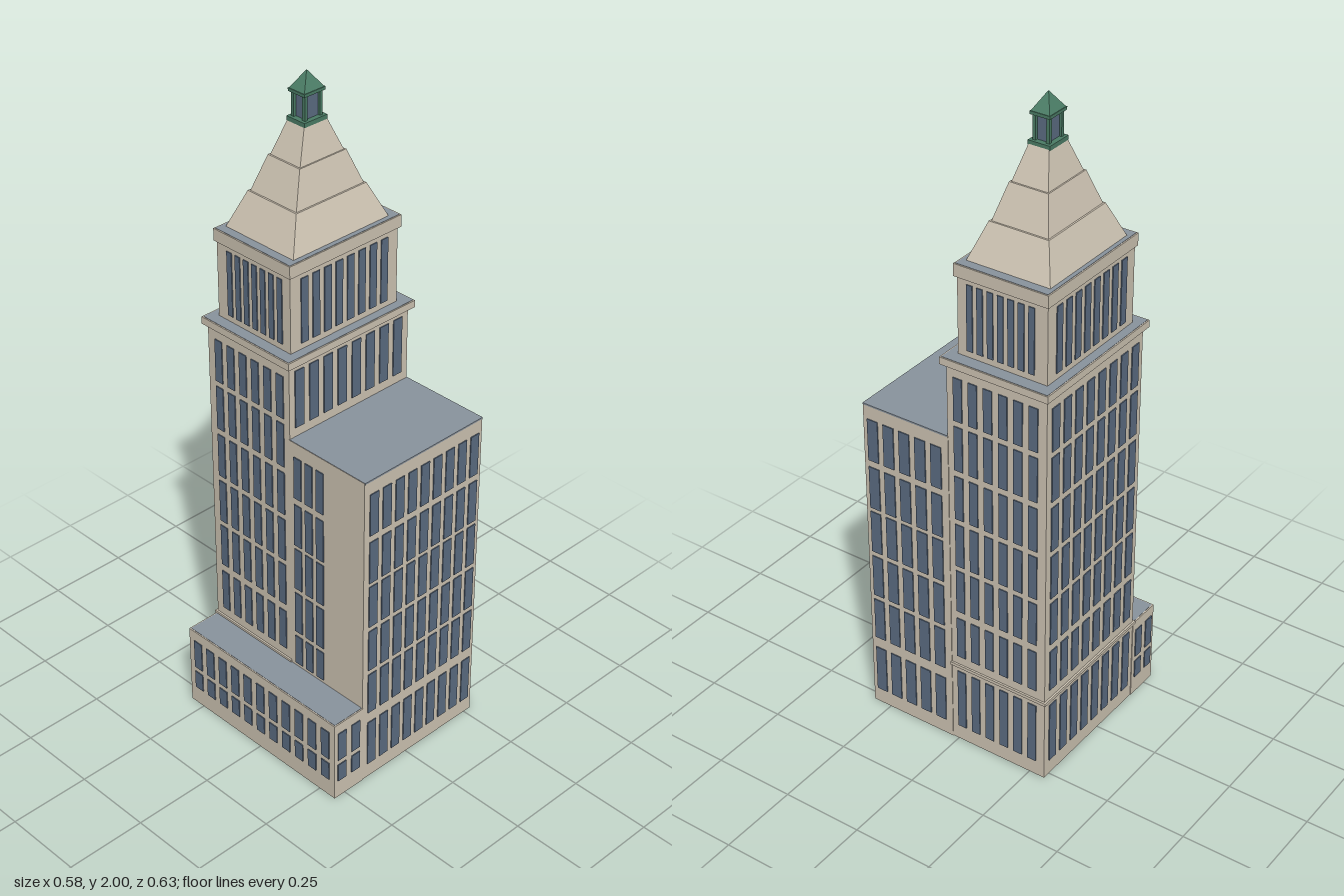
import * as THREE from 'three';
import { mergeGeometries } from 'three/addons/utils/BufferGeometryUtils.js';

const material = (name, color) => {
  const m = new THREE.MeshStandardMaterial({ color });
  m.name = name;
  return m;
};

export function createModel() {
  const stone = material('limestone', 0xd0c6b5);
  const roofing = material('slate roof', 0x8a949e);
  const glass = material('window glass', 0x5c6d83);
  const copper = material('green copper', 0x4b7d66);

  const model = new THREE.Group();
  model.name = 'tower';

  const add = (name, geometry, mat) => {
    const mesh = new THREE.Mesh(geometry, mat);
    mesh.name = name;
    model.add(mesh);
    return mesh;
  };

  // Box given by its limits on each axis
  const boxGeo = (x0, x1, y0, y1, z0, z1) =>
    new THREE.BoxGeometry(x1 - x0, y1 - y0, z1 - z0)
      .translate((x0 + x1) / 2, (y0 + y1) / 2, (z0 + z1) / 2);
  const box = (name, mat, ...b) => add(name, boxGeo(...b), mat);

  // Thin roof surface laid just inside the edges of a block
  const roofPlate = (name, x0, x1, y, z0, z1) =>
    box(name, roofing, x0 + 0.004, x1 - 0.004, y - 0.004, y + 0.001, z0 + 0.004, z1 - 0.004);

  // Four-sided slope between a lower and an upper rectangle [x0, x1, z0, z1]
  const frustum = (name, mat, lower, upper, y0, y1) => {
    const g = new THREE.BoxGeometry(1, 1, 1).toNonIndexed();
    const p = g.attributes.position;
    for (let i = 0; i < p.count; i++) {
      const top = p.getY(i) > 0;
      const r = top ? upper : lower;
      p.setXYZ(i, p.getX(i) < 0 ? r[0] : r[1], top ? y1 : y0, p.getZ(i) < 0 ? r[2] : r[3]);
    }
    g.computeVertexNormals();
    return add(name, g, mat);
  };

  // Grid of window plates on a wall; axis is the wall's normal, u runs along the wall
  const windows = (name, axis, at, u0, u1, columns, rows, fill = 0.66) => {
    const pitch = (u1 - u0) / (columns - 1 + fill);
    const t = 0.003;
    const panes = [];
    for (const [y0, y1] of rows) {
      for (let i = 0; i < columns; i++) {
        const a = u0 + i * pitch;
        const b = a + pitch * fill;
        panes.push(axis === 'x'
          ? boxGeo(at - t, at + t, y0, y1, a, b)
          : boxGeo(a, b, y0, y1, at - t, at + t));
      }
    }
    add(name, mergeGeometries(panes), glass);
  };

  const blockRows = [[0.05, 0.204], [0.241, 0.379], [0.395, 0.533], [0.549, 0.687], [0.7, 0.838], [0.86, 0.995]];
  const shaftRows = [[0.305, 0.44], [0.465, 0.605], [0.622, 0.762], [0.78, 0.92], [0.94, 1.08], [1.098, 1.232]];
  const shaftBase = [[0.05, 0.25]];
  const annexRows = [[0.06, 0.12], [0.137, 0.235]];

  // Main shaft
  box('shaft', stone, -0.178, 0.274, 0, 1.27, -0.3, 0.022);
  windows('shaftLeftWindows', 'x', 0.274, -0.272, 0, 6, [...shaftBase, ...shaftRows], 0.58);
  windows('shaftRightWindows', 'x', -0.178, -0.272, 0, 6, shaftRows, 0.58);
  windows('shaftBackWindows', 'z', -0.3, -0.158, 0.252, 8, [...shaftBase, ...shaftRows], 0.62);
  windows('shaftFrontWindows', 'z', 0.022, -0.158, 0.25, 8, [[1.07, 1.25]], 0.62);
  box('baseLedge', stone, -0.184, 0.28, 0.266, 0.276, -0.306, 0.022);

  // Shaft cornice
  box('shaftCornice', stone, -0.19, 0.29, 1.268, 1.29, -0.312, 0.033);
  roofPlate('shaftRoof', -0.19, 0.29, 1.29, -0.312, 0.033);

  // Front block
  box('frontBlock', stone, -0.18, 0.276, 0, 1.04, 0.02, 0.31);
  box('frontBlockRoof', roofing, -0.179, 0.276, 1.036, 1.041, 0.022, 0.311);
  windows('blockFrontWindows', 'z', 0.31, -0.16, 0.263, 9, blockRows);
  windows('blockLeftWindows', 'x', 0.276, 0.043, 0.296, 5, blockRows);
  windows('blockRightWindows', 'x', -0.18, 0.04, 0.155, 3, blockRows.slice(2).concat([[0.28, 0.379]]));

  // Low side annex
  box('annex', stone, -0.29, -0.178, 0, 0.268, -0.302, 0.311);
  roofPlate('annexRoof', -0.29, -0.176, 0.268, -0.302, 0.311);
  windows('annexFrontWindows', 'z', 0.311, -0.278, -0.192, 2, annexRows, 0.6);
  windows('annexBackWindows', 'z', -0.302, -0.278, -0.192, 2, annexRows, 0.6);
  windows('annexSideWindows', 'x', -0.29, -0.28, 0.29, 11, annexRows, 0.6);

  // Belfry storey and its cornice
  box('belfry', stone, -0.152, 0.248, 1.28, 1.53, -0.282, 0.002);
  for (const [side, z] of [['Front', 0.002], ['Back', -0.282]])
    windows(`belfry${side}Windows`, 'z', z, -0.114, 0.21, 8, [[1.31, 1.507]], 0.6);
  for (const [side, x] of [['Left', 0.248], ['Right', -0.152]])
    windows(`belfry${side}Windows`, 'x', x, -0.242, -0.028, 7, [[1.31, 1.507]], 0.58);
  box('belfryCornice', stone, -0.158, 0.256, 1.523, 1.56, -0.288, 0.008);
  roofPlate('belfryRoof', -0.158, 0.256, 1.56, -0.288, 0.008);

  // Stepped pyramid roof, each tier starting slightly inside the one below
  frustum('lowerRoofTier', stone, [-0.128, 0.225, -0.272, -0.01], [-0.08, 0.177, -0.234, -0.048], 1.56, 1.665);
  frustum('middleRoofTier', stone, [-0.075, 0.172, -0.229, -0.053], [-0.036, 0.133, -0.201, -0.08], 1.665, 1.767);
  frustum('upperRoofTier', stone, [-0.031, 0.128, -0.197, -0.084], [0.009, 0.088, -0.171, -0.109], 1.767, 1.865);

  // Copper lantern
  const cx = 0.048, cz = -0.14, hx = 0.032, hz = 0.026;
  box('lanternBase', copper, cx - 0.041, cx + 0.041, 1.86, 1.873, cz - 0.034, cz + 0.034);
  box('lanternGlass', glass, cx - 0.024, cx + 0.024, 1.873, 1.945, cz - 0.019, cz + 0.019);
  for (const sx of [-1, 1]) {
    for (const sz of [-1, 1]) {
      const x = cx + sx * (hx - 0.005), z = cz + sz * (hz - 0.005);
      box('lanternPost', copper, x - 0.005, x + 0.005, 1.873, 1.945, z - 0.005, z + 0.005);
    }
  }
  box('lanternEave', copper, cx - 0.038, cx + 0.038, 1.943, 1.952, cz - 0.031, cz + 0.031);
  frustum('lanternRoof', copper, [cx - 0.036, cx + 0.036, cz - 0.029, cz + 0.029],
    [cx - 0.001, cx + 0.001, cz - 0.001, cz + 0.001], 1.952, 2);

  return model;
}
